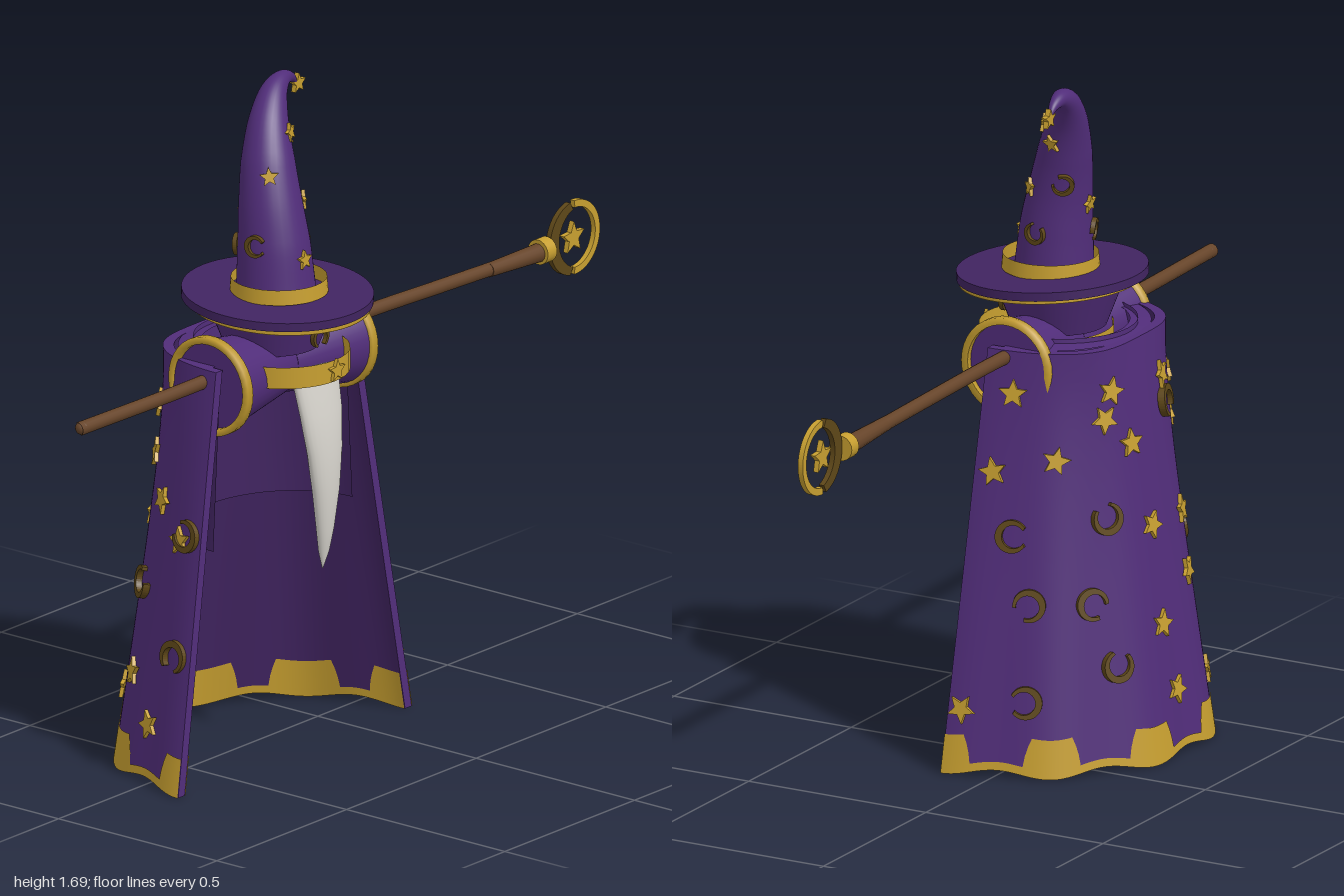
import * as THREE from 'three';
import { mergeVertices, mergeGeometries } from 'three/addons/utils/BufferGeometryUtils.js';

const CX = -0.245; // body axis
const mat = (name, color, side = THREE.FrontSide) => {
  const m = new THREE.MeshStandardMaterial({ color, side });
  m.name = name;
  return m;
};

// Smooth sheet from a rule (u, v in 0..1) => [x, y, z]
function sheet(rule, nu, nv) {
  const pos = [], idx = [];
  for (let j = 0; j <= nv; j++) for (let i = 0; i <= nu; i++) pos.push(...rule(i / nu, j / nv));
  for (let j = 0; j < nv; j++) for (let i = 0; i < nu; i++) {
    const a = j * (nu + 1) + i, b = a + 1, c = a + nu + 1, d = c + 1;
    idx.push(a, b, d, a, d, c);
  }
  let g = new THREE.BufferGeometry();
  g.setAttribute('position', new THREE.Float32BufferAttribute(pos, 3));
  g.setIndex(idx);
  g = mergeVertices(g, 1e-5);
  g.computeVertexNormals();
  return g;
}

// Point on the cape: t runs from the left front edge round the back, v from hem to shoulder;
// the section turns boxier near the shoulders
function capePoint(t, v, inset = 0) {
  const k = 1 - v, fold = 0.008 * k * Math.cos(10 * t);
  const rx = 0.27 + 0.172 * k + fold - inset, rz = 0.275 + 0.166 * k + fold - inset;
  const y0 = 0.009 * (1 - Math.cos(10 * t)), c = Math.cos(t);
  const x = Math.sign(c) * Math.pow(Math.abs(c), 1 - 0.45 * Math.max(0, v) ** 6);
  return [CX + rx * x, y0 + (1.045 - y0) * v, 0.1 + 0.028 * k - rz * Math.sin(t)];
}

function starGeo(r, depth) {
  const s = new THREE.Shape();
  for (let i = 0; i < 10; i++) {
    const a = Math.PI / 2 + i * Math.PI / 5, q = i % 2 ? r * 0.45 : r;
    s[i ? 'lineTo' : 'moveTo'](q * Math.cos(a), q * Math.sin(a));
  }
  return new THREE.ExtrudeGeometry(s, { depth, bevelEnabled: false }).translate(0, 0, -depth / 2);
}

function moonGeo(r, depth) {
  const s = new THREE.Shape(), gap = 0.6;
  s.absarc(0, 0, r, gap, Math.PI * 2 - gap, false);
  s.absarc(r * 0.12, 0, r * 0.7, Math.PI * 2 - gap, gap, true);
  return new THREE.ExtrudeGeometry(s, { depth, bevelEnabled: false, curveSegments: 14 }).translate(0, 0, -depth / 2);
}

export function createModel() {
  const root = new THREE.Group();
  root.name = 'wizardOutfit';
  const purple = mat('purple cloth', 0x512d7a, THREE.DoubleSide);
  const deep = mat('deep purple lining', 0x412461, THREE.DoubleSide);
  const gold = mat('gold', 0xc79f30, THREE.DoubleSide);
  const darkGold = mat('dark gold', 0x5e4718);
  const wood = mat('wood', 0x664429);
  const white = mat('beard white', 0xd6d3cc, THREE.DoubleSide);
  const add = (name, geo, m, x = 0, y = 0, z = 0) => {
    const o = new THREE.Mesh(geo, m);
    o.name = name;
    o.position.set(x, y, z);
    root.add(o);
    return o;
  };
  const PI = Math.PI;

  // Cape: outer cloth with front edges, hem and top edge, and the inner cloth
  const T = 0.025;
  add('cape', mergeGeometries([
    sheet((u, v) => capePoint(u * PI, v), 100, 16),
    sheet((u, v) => capePoint(0, v, T * u), 1, 12),
    sheet((u, v) => capePoint(PI, v, T * u), 1, 12),
    sheet((u, v) => capePoint(u * PI, 0, T * v), 100, 1),
    sheet((u, v) => capePoint(u * PI, 1, T * v), 100, 1),
  ]), purple);
  add('capeInside', sheet((u, v) => capePoint(u * PI, v, T), 100, 16), deep);

  // Gold hem: thin strip and tapering patches on both faces
  for (const [inset, width] of [[-0.003, 0.33], [T + 0.003, 0.44]]) {
    add('hemStrip', sheet((u, v) => capePoint(u * PI, 0.02 * v, inset), 100, 1), gold);
    for (let i = 0; i <= 5; i++) {
      add('hemPatch', sheet((u, v) => {
        const t = i * PI / 5 + (u - 0.5) * (width - 0.1 * v * v);
        return capePoint(Math.min(PI, Math.max(0, t)), 0.092 * v, inset);
      }, 14, 4), gold);
    }
  }

  // Short inner lining, neck collar and shoulder cloth
  add('lining', sheet((u, v) => [CX + 0.268 * (1 - 0.1 * v) * Math.cos(u * PI), 0.58 + 0.45 * v,
    0.09 - 0.235 * Math.sin(u * PI)], 40, 4), deep);
  add('collar', sheet((u, v) => [CX + (0.2 - 0.01 * v) * Math.cos(u * PI), 0.96 + 0.1 * v,
    0.06 - 0.2 * Math.sin(u * PI)], 40, 2), purple);
  add('shoulderCloth', sheet((u, v) => [CX + (0.19 + 0.06 * v) * Math.cos(u * PI), 1.05 - 0.006 * v,
    0.07 - (0.185 + 0.05 * v) * Math.sin(u * PI)], 40, 2), purple);

  // Sleeves flaring to gold cuffs, tucked under the cape at the back
  for (const s of [-1, 1]) {
    const sleeve = add('sleeve', new THREE.CylinderGeometry(0.116, 0.08, 0.235, 32), purple, CX + s * 0.118, 0.995, 0.06);
    sleeve.rotation.z = -s * PI / 2;
    const cuff = add('cuff', new THREE.LatheGeometry([[0.108, -0.01], [0.126, -0.01], [0.126, 0.01],
      [0.108, 0.01], [0.108, -0.01]].map(p => new THREE.Vector2(...p)), 36), gold, CX + s * 0.241, 0.995, 0.06);
    cuff.rotation.z = PI / 2;
  }

  // Stars and moons on the cape: [angle in degrees, height]
  const onCape = (name, geo, m, list) => list.forEach(([deg, y], i) => {
    const t = deg * PI / 180, v = y / 1.045;
    const p = new THREE.Vector3(...capePoint(t, v, -0.005)), q = new THREE.Vector3(...capePoint(t, v, -0.1));
    q.y = p.y + 0.015;
    const o = add(name, geo, m);
    o.position.copy(p);
    o.lookAt(q);
    o.rotateZ(name === 'capeMoon' ? i * 1.9 : i * 0.5);
  });
  onCape('capeStar', starGeo(0.037, 0.01), gold, [[16, 0.94], [62, 0.87], [37, 0.78], [9, 0.745], [5, 0.16], [75, 0.8],
    [134, 0.78], [152, 0.69], [168, 0.61], [82, 0.58], [108, 0.58], [105, 0.43], [82, 0.33], [147, 0.25],
    [87, 0.15], [118, 0.14], [161, 0.13], [68, 0.94], [100, 0.93], [128, 0.9]]);
  onCape('capeMoon', moonGeo(0.041, 0.018), darkGold, [[19, 0.585], [59, 0.62], [27, 0.42], [51, 0.41], [60, 0.25],
    [27, 0.18], [103, 0.86], [144, 0.47], [172, 0.63], [172, 0.33]]);

  // Hood part under the brim and the head band
  add('hatUnderside', new THREE.CylinderGeometry(0.16, 0.118, 0.11, 40, 1, true), purple, CX, 1.1, 0.055);
  add('headBand', new THREE.CylinderGeometry(0.165, 0.165, 0.055, 40, 1, true), gold, CX, 1.013, 0.09);
  add('headBandStar', starGeo(0.03, 0.009), gold, CX, 1.015, 0.26);
  add('hoodMoon', moonGeo(0.03, 0.012), darkGold, CX + 0.015, 1.085, 0.195).rotation.z = -PI / 2;

  // Brim, tilted down at the front, with gold trim below
  const brim = add('hatBrim', new THREE.CylinderGeometry(0.236, 0.236, 0.022, 56), deep, CX, 1.173, 0.073);
  const trim = add('brimTrim', new THREE.CylinderGeometry(0.224, 0.224, 0.009, 56, 1, true), gold, CX, 1.155, 0.08);
  const trimFace = add('brimTrimFace', new THREE.RingGeometry(0.2, 0.224, 56).rotateX(PI / 2), gold, CX, 1.15, 0.08);
  for (const o of [brim, trim, trimFace]) o.rotation.x = 0.055;
  add('hatBand', new THREE.CylinderGeometry(0.118, 0.121, 0.038, 40, 1, true), gold, CX, 1.202, 0.078);

  // Bent hat cone lofted along a curve
  const hat = [[-0.245, 1.19, 0.068, 0.098], [-0.243, 1.3, 0.06, 0.09], [-0.238, 1.4, 0.045, 0.079],
    [-0.222, 1.5, 0.024, 0.067], [-0.19, 1.59, 0, 0.05], [-0.145, 1.648, -0.02, 0.034],
    [-0.1, 1.668, -0.03, 0.021], [-0.062, 1.66, -0.035, 0.012], [-0.038, 1.638, -0.038, 0.004]];
  const spine = new THREE.CatmullRomCurve3(hat.map(h => new THREE.Vector3(h[0], h[1], h[2])));
  const hatPoint = (a, v, extra = 0) => {
    const f = v * (hat.length - 1), i = Math.min(hat.length - 2, Math.floor(f));
    const r = THREE.MathUtils.lerp(hat[i][3], hat[i + 1][3], f - i) + extra;
    const tan = spine.getTangent(v);
    const front = new THREE.Vector3(0, 0, 1).addScaledVector(tan, -tan.z).normalize();
    const side = new THREE.Vector3().crossVectors(tan, front);
    return spine.getPoint(v).addScaledVector(side, r * Math.cos(a)).addScaledVector(front, r * Math.sin(a));
  };
  add('hatCone', sheet((u, v) => hatPoint(u * 2 * PI, v).toArray(), 32, 48), purple);
  add('hatTipStar', starGeo(0.026, 0.014), gold, -0.033, 1.637, -0.038);

  // Stars and moons on the hat: [angle in degrees, position along the cone]
  const onHat = (name, geo, m, list) => list.forEach(([deg, v], i) => {
    const a = deg * PI / 180;
    const o = add(name, geo, m);
    o.position.copy(hatPoint(a, v, 0.003));
    o.lookAt(hatPoint(a, v, 0.2));
    o.rotateZ(i * 1.3);
  });
  onHat('hatStar', starGeo(0.025, 0.009), gold, [[90, 0.09], [40, 0.25], [140, 0.33], [75, 0.46], [10, 0.44], [270, 0.22]]);
  onHat('hatMoon', moonGeo(0.028, 0.012), darkGold, [[170, 0.14], [5, 0.12], [330, 0.3], [250, 0.12]]);

  // Beard: curved taper, [height, half width, back z, front z]
  const beard = [[1.0, 0.084, 0.165, 0.215], [0.9, 0.074, 0.182, 0.238], [0.8, 0.059, 0.194, 0.25], [0.7, 0.043, 0.2, 0.252],
    [0.6, 0.026, 0.204, 0.243], [0.54, 0.015, 0.207, 0.232], [0.495, 0.001, 0.214, 0.217]];
  add('beard', sheet((u, v) => {
    const [y, w, b, f] = beard[Math.round(v * (beard.length - 1))], a = u * 2 * PI;
    return [CX + w * Math.cos(a), y, (b + f) / 2 + (f - b) / 2 * Math.sin(a)];
  }, 24, beard.length - 1), white);

  // Staff with collar, crescent and star
  const shaft = new THREE.CatmullRomCurve3([[-1, 1.018, 0.06], [-0.5, 1.012, 0.058], [0.05, 1.026, 0.055],
    [0.4, 1.018, 0.06], [0.79, 1.006, 0.064]].map(p => new THREE.Vector3(...p)));
  add('staff', new THREE.TubeGeometry(shaft, 40, 0.0175, 14), wood);
  add('staffButt', new THREE.SphereGeometry(0.0175, 14, 10), wood, -0.982, 1.018, 0.06);
  add('staffNeck', new THREE.CylinderGeometry(0.024, 0.018, 0.2, 14), wood, 0.68, 1.009, 0.063).rotation.z = -PI / 2 - 0.03;
  add('staffCollar', new THREE.CylinderGeometry(0.032, 0.032, 0.035, 20), gold, 0.788, 1.008, 0.064).rotation.z = PI / 2;
  const crescent = new THREE.Shape();
  crescent.absarc(0, 0, 0.095, 1.75, 4.53, false);
  crescent.absarc(0.018, 0, 0.078, 4.4, 1.88, true);
  add('staffCrescent', new THREE.ExtrudeGeometry(crescent, { depth: 0.014, bevelEnabled: false, curveSegments: 24 }),
    darkGold, 0.903, 1.013, 0.058);
  const arc = new THREE.Shape();
  arc.absarc(0, 0, 0.095, -1.6, 1.6, false);
  arc.absarc(0, 0, 0.077, 1.6, -1.6, true);
  add('staffArc', new THREE.ExtrudeGeometry(arc, { depth: 0.014, bevelEnabled: false, curveSegments: 24 }),
    gold, 0.905, 1.013, 0.058);
  add('staffStar', starGeo(0.042, 0.014), gold, 0.9, 1.013, 0.065);

  return root;
}
